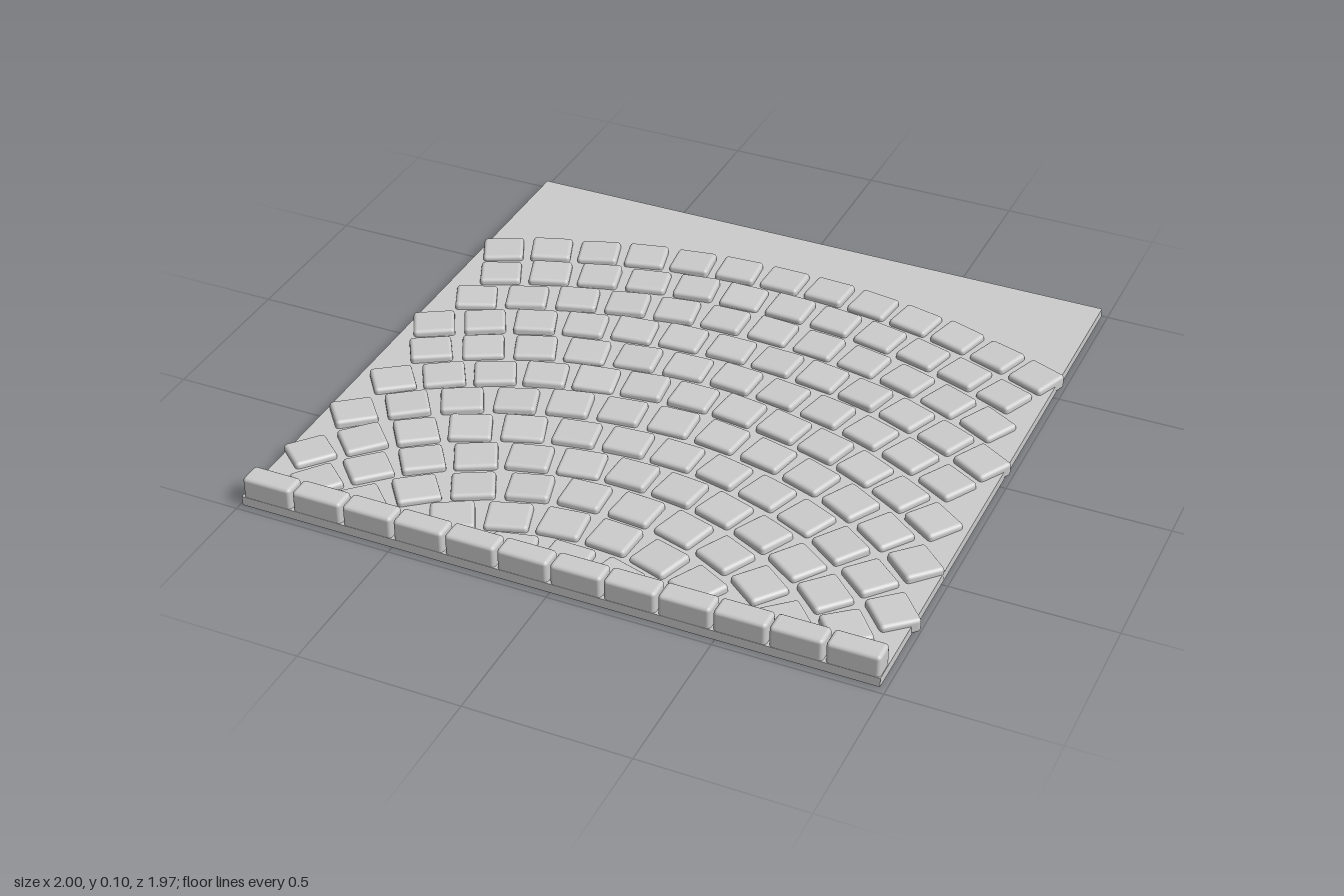
import * as THREE from 'three';
import { RoundedBoxGeometry } from 'three/addons/geometries/RoundedBoxGeometry.js';

// Small seeded generator giving values in -1..1
function seeded(seed) {
  return () => {
    seed = (seed * 16807) % 2147483647;
    return (seed / 2147483647) * 2 - 1;
  };
}

export function createModel() {
  const model = new THREE.Group();
  model.name = 'cobbledPavement';
  const stone = new THREE.MeshStandardMaterial({ name: 'stone grey', color: 0xcccccc });
  const rand = seeded(4711);

  function add(parent, name, geometry, x, y, z) {
    const mesh = new THREE.Mesh(geometry, stone);
    mesh.name = name;
    mesh.position.set(x, y, z);
    parent.add(mesh);
    return mesh;
  }

  // Flat bed under the stones
  add(model, 'bedSlab', new THREE.BoxGeometry(1.972, 0.03, 1.972), -0.004, 0.023, -0.005);

  // Concentric arcs of cobbles: [stone count, half angle of the arc]
  const rows = [
    [13, 0.427], [12, 0.428], [12, 0.465], [13, 0.538], [12, 0.548], [13, 0.631],
    [13, 0.733], [14, 0.870], [13, 0.900], [10, 0.815], [6, 0.525], [3, 0.260],
  ];
  const arcCentreZ = 1.49;
  const cobbles = new THREE.Group();
  cobbles.name = 'cobbles';
  model.add(cobbles);
  const cobble = new RoundedBoxGeometry(0.13, 0.048, 0.121, 2, 0.012);
  rows.forEach(([count, half], row) => {
    const radius = 2.212 - row * 0.1446;
    for (let i = 0; i < count; i++) {
      const a = -half + (2 * half * i) / (count - 1);
      const mesh = add(cobbles, 'cobble', cobble,
        Math.sin(a) * radius, 0.034 + rand() * 0.002, arcCentreZ - Math.cos(a) * radius);
      // slight uneven setting
      mesh.rotation.set(rand() * 0.035, -a + rand() * 0.04, rand() * 0.035, 'YXZ');
    }
  });

  // Raised kerb along the front edge
  const kerb = new THREE.Group();
  kerb.name = 'kerb';
  model.add(kerb);
  const kerbStone = new RoundedBoxGeometry(0.157, 0.095, 0.072, 2, 0.012);
  for (let i = 0; i < 12; i++) {
    add(kerb, 'kerbStone', kerbStone, -0.906 + i * 0.1643, 0.0575, 0.944);
  }
  return model;
}
